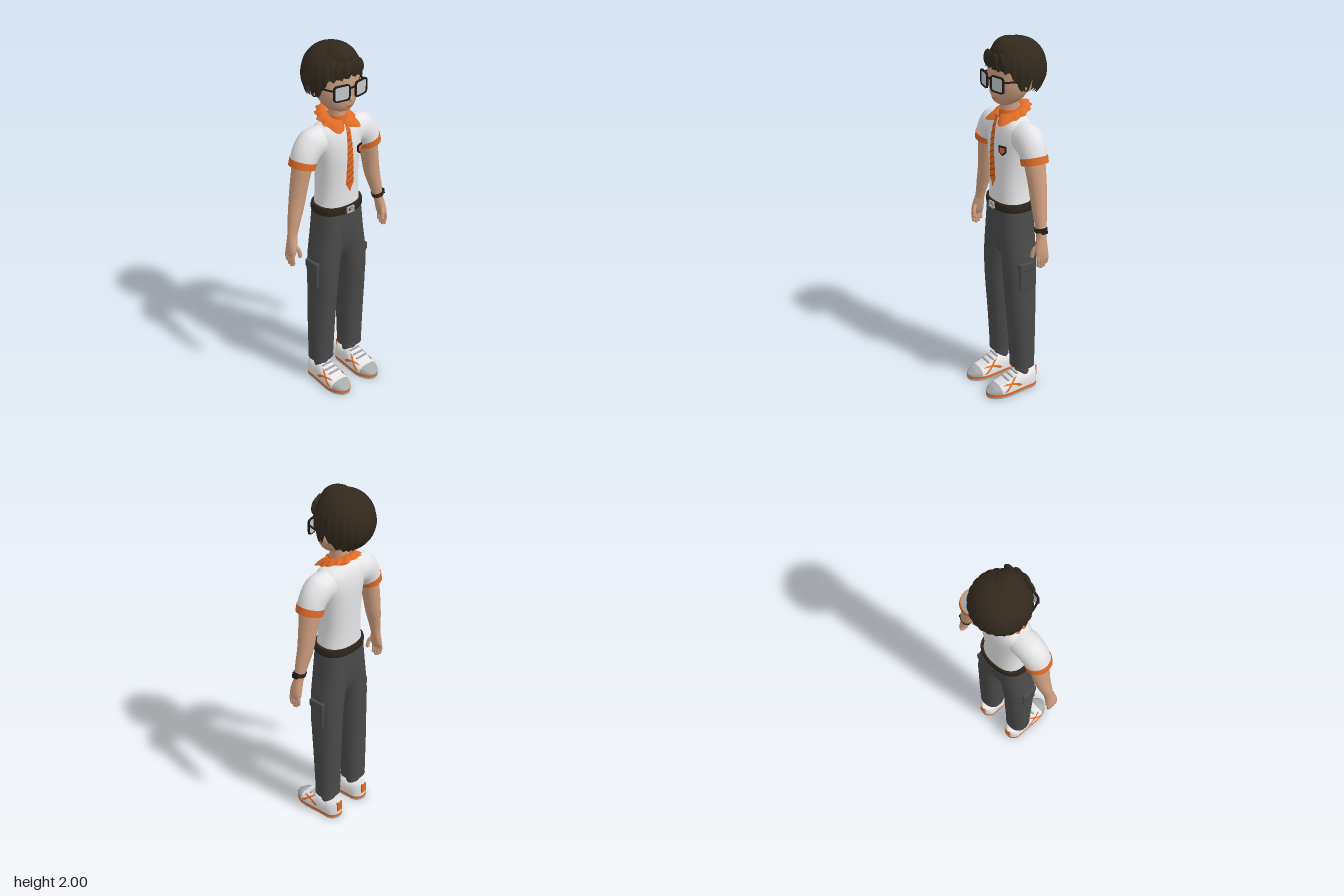
import * as THREE from 'three';
import { RoundedBoxGeometry } from 'three/addons/geometries/RoundedBoxGeometry.js';

const paint = (name, color, side = THREE.FrontSide) => {
  const m = new THREE.MeshStandardMaterial({ color, side });
  m.name = name;
  return m;
};

// Open or closed sheet of points; i runs around, j along
function grid(ni, nj, fn, closed = false, caps = false) {
  const pos = [], idx = [], cols = closed ? ni : ni + 1;
  for (let j = 0; j <= nj; j++) for (let i = 0; i < cols; i++) pos.push(...fn(i / ni, j / nj));
  const at = (i, j) => j * cols + (i % cols);
  for (let j = 0; j < nj; j++) for (let i = 0; i < ni; i++) {
    idx.push(at(i, j), at(i, j + 1), at(i + 1, j), at(i + 1, j), at(i, j + 1), at(i + 1, j + 1));
  }
  if (caps) for (const j of [0, nj]) {
    const base = pos.length / 3, c = [0, 0, 0];
    for (let i = 0; i < ni; i++) {
      const p = fn(i / ni, j / nj);
      pos.push(...p);
      p.forEach((v, k) => { c[k] += v / ni; });
    }
    pos.push(...c);
    for (let i = 0; i < ni; i++) {
      const a = base + i, b = base + (i + 1) % ni;
      idx.push(base + ni, ...(j ? [b, a] : [a, b]));
    }
  }
  const g = new THREE.BufferGeometry();
  g.setAttribute('position', new THREE.Float32BufferAttribute(pos, 3));
  g.setIndex(idx);
  g.computeVertexNormals();
  return g;
}

// Smooth interpolation through rows of numbers
function sample(rows, t) {
  const n = rows.length - 1, f = Math.min(Math.max(t, 0), 1) * n, i = Math.min(Math.floor(f), n - 1), k = f - i;
  const [a, b, c, d] = [rows[Math.max(i - 1, 0)], rows[i], rows[i + 1], rows[Math.min(i + 2, n)]];
  return b.map((v, q) => v + 0.5 * k * (c[q] - a[q] + k * (2 * a[q] - 5 * v + 4 * c[q] - d[q] + k * (3 * (v - c[q]) + d[q] - a[q]))));
}
// Piecewise linear lookup in [key, value] pairs
function lookup(table, x) {
  let i = 0;
  while (i < table.length - 2 && x > table[i + 1][0]) i++;
  const [a, b] = [table[i], table[i + 1]];
  return THREE.MathUtils.lerp(a[1], b[1], THREE.MathUtils.clamp((x - a[0]) / (b[0] - a[0]), 0, 1));
}
const pw = (v, e) => Math.sign(v) * Math.abs(v) ** e;

// Body loft, bottom to top; each ring is [x, y, z, radiusX, radiusZ, tilt]
const loft = (rings, e = 1, n = 28, sub = 4) => grid(n, (rings.length - 1) * sub, (u, v) => {
  const [x, y, z, rx, rz, t] = sample(rings, v), a = u * Math.PI * 2, r = rx * pw(Math.cos(a), e);
  return [x + r * Math.cos(t), y + r * Math.sin(t), z + rz * pw(Math.sin(a), e)];
}, true, true);
const upright = (rows, e, n) => loft(rows.map(([y, z, rx, rz]) => [0, y, z, rx, rz, 0]), e, n);
const box = (w, h, d, x, y, z, ry = 0, rz = 0) => new THREE.BoxGeometry(w, h, d).rotateZ(rz).rotateY(ry).translate(x, y, z);
const ball = (x, y, z, rx, ry, rz) => new THREE.SphereGeometry(1, 24, 16).scale(rx, ry, rz).translate(x, y, z);
const tube = (pts, r) => new THREE.TubeGeometry(new THREE.CatmullRomCurve3(pts.map(p => new THREE.Vector3(...p))), 12, r, 8);

function mirror(geo) {
  const g = (geo.index ? geo.toNonIndexed() : geo.clone()).scale(-1, 1, 1);
  for (const a of [g.attributes.position, g.attributes.normal]) for (let i = 0; i < a.count; i += 3) {
    const p = new THREE.Vector3().fromBufferAttribute(a, i), q = new THREE.Vector3().fromBufferAttribute(a, i + 2);
    a.setXYZ(i, q.x, q.y, q.z);
    a.setXYZ(i + 2, p.x, p.y, p.z);
  }
  return g;
}
function roundRect(path, w, h, r) {
  const x = w / 2, y = h / 2;
  path.moveTo(-x + r, -y).lineTo(x - r, -y).quadraticCurveTo(x, -y, x, -y + r).lineTo(x, y - r).quadraticCurveTo(x, y, x - r, y)
    .lineTo(-x + r, y).quadraticCurveTo(-x, y, -x, y - r).lineTo(-x, -y + r).quadraticCurveTo(-x, -y, -x + r, -y);
  return path;
}
const plate = (shape, depth) => new THREE.ExtrudeGeometry(shape, { depth, bevelEnabled: false, curveSegments: 6 });

export function createModel() {
  const D = THREE.DoubleSide;
  const skin = paint('skin', 0xcf9f80), hairMat = paint('hair', 0x32291d, D), white = paint('white', 0xe9e9eb, D);
  const orange = paint('orange', 0xe06c28, D), rust = paint('rust', 0x9c4518, D), slate = paint('slate', 0x4a4a4b);
  const brown = paint('belt brown', 0x2e261b), black = paint('black', 0x1c1b1a), glass = paint('lens', 0xc4c7c9), grey = paint('grey', 0xa9abad, D);

  const root = new THREE.Group();
  root.name = 'figure';
  const add = (name, geo, mat) => {
    const m = new THREE.Mesh(geo, mat);
    m.name = name;
    root.add(m);
  };
  const pair = (name, geo, mat) => {
    add('left ' + name, geo, mat);
    add('right ' + name, mirror(geo), mat);
  };

  // Head and neck
  add('head', upright([[1.655, 0.02, 0.03, 0.03], [1.67, 0.016, 0.062, 0.058], [1.7, 0.004, 0.092, 0.083], [1.75, -0.008, 0.117, 0.102],
    [1.8, -0.015, 0.125, 0.112], [1.87, -0.02, 0.128, 0.115], [1.93, -0.025, 0.105, 0.1], [1.97, -0.025, 0.05, 0.05]], 1, 32), skin);
  add('neck', upright([[1.56, -0.01, 0.052, 0.055], [1.62, -0.008, 0.045, 0.05], [1.7, -0.008, 0.046, 0.05]]), skin);
  add('nose', ball(0, 1.735, 0.095, 0.012, 0.014, 0.014), skin);
  add('mouth', box(0.03, 0.004, 0.008, 0, 1.692, 0.083), rust);
  pair('ear', ball(0.13, 1.775, -0.03, 0.014, 0.034, 0.024), skin);

  // Hair: a strand-ridged cap with an uneven lower edge
  const hairline = [[0, 1.857], [0.5, 1.847], [0.85, 1.835], [1.1, 1.765], [1.35, 1.738], [1.6, 1.8], [1.9, 1.74], [2.3, 1.715], [3.15, 1.705]];
  add('hair', grid(132, 18, (u, v) => {
    const a = u * Math.PI * 2, side = Math.min(a, Math.PI * 2 - a), back = Math.max(0, -Math.cos(a));
    const strand = Math.abs(((u * 24) % 1) - 0.5) * 2;
    const edge = lookup(hairline, side) + 0.018 * (strand - 0.5);
    const phi = v * Math.acos((edge - 1.83) / 0.16), s = Math.sin(phi);
    const r = pw(s, phi > Math.PI / 2 ? 0.5 + 0.8 * back : 0.85) * (1 - 0.045 * strand * v);
    return [0.154 * r * Math.sin(a), 1.83 + 0.16 * Math.cos(phi), -0.047 + 0.157 * r * Math.cos(a)];
  }, true), hairMat);
  add('crown hair', ball(0, 1.925, -0.005, 0.085, 0.075, 0.092), hairMat);
  for (const [x, tilt] of [[-0.06, 0.35], [-0.02, 0.2], [0.025, -0.15], [0.065, -0.4]]) {
    add('fringe lock', new THREE.SphereGeometry(1, 12, 10).scale(0.032, 0.045, 0.014).rotateZ(-tilt).translate(x, 1.89, 0.098 - x * x * 4), hairMat);
  }

  // Glasses
  const rim = roundRect(new THREE.Shape(), 0.094, 0.084, 0.02);
  rim.holes.push(roundRect(new THREE.Path(), 0.08, 0.07, 0.015));
  const seat = g => g.rotateY(0.2).translate(0.062, 1.782, 0.098);
  pair('glasses rim', seat(plate(rim, 0.01)), black);
  pair('lens', seat(plate(roundRect(new THREE.Shape(), 0.082, 0.072, 0.015), 0.005)), glass);
  pair('glasses temple', tube([[0.108, 1.8, 0.092], [0.122, 1.8, 0.05], [0.132, 1.795, -0.03]], 0.005), black);
  add('glasses bridge', box(0.034, 0.008, 0.008, 0, 1.8, 0.11), black);

  // Shirt, sleeves and cuffs
  add('shirt', upright([[1.1, -0.01, 0.13, 0.098], [1.2, -0.01, 0.117, 0.096], [1.3, -0.01, 0.117, 0.097], [1.4, -0.01, 0.127, 0.1],
    [1.48, -0.012, 0.143, 0.098], [1.54, -0.014, 0.15, 0.086], [1.575, -0.014, 0.12, 0.07], [1.597, -0.012, 0.065, 0.055]], 0.85, 36), white);
  pair('sleeve', loft([[0.225, 1.405, -0.015, 0.066, 0.068, 0.26], [0.2, 1.458, -0.016, 0.075, 0.071, 0.55], [0.165, 1.493, -0.017, 0.084, 0.074, 0.96],
    [0.135, 1.503, -0.017, 0.083, 0.075, 1.22], [0.08, 1.505, -0.017, 0.078, 0.07, 1.5]]), white);
  pair('sleeve cuff', loft([[0.227, 1.395, -0.015, 0.069, 0.072, 0.26], [0.217, 1.43, -0.015, 0.071, 0.072, 0.3]]), orange);

  // Collar: tilted ring, open at the front, with two pointed flaps and a ragged back
  add('collar', grid(48, 4, (u, v) => {
    const a = 0.2 + u * (Math.PI * 2 - 0.4), side = Math.min(a, Math.PI * 2 - a);
    const reach = lookup([[0.2, 0.085], [0.62, 0.13], [1.1, 0.1], [1.6, 0.106], [3.15, 0.11]], side) + (side > 1.2 ? 0.008 * Math.cos(a * 14) : 0);
    const r = THREE.MathUtils.lerp(0.05, reach, v), z = -0.01 + r * Math.cos(a);
    return [r * Math.sin(a), 1.623 - 0.38 * z + 0.012 * Math.sin(v * Math.PI) - 0.024 * v, z];
  }), orange);
  add('collar band', loft([[0, 1.585, -0.008, 0.056, 0.06, 0], [0, 1.628, -0.01, 0.05, 0.055, 0]]), orange);

  // Tie with slanted stripes
  const tieHalf = [[1.22, 0], [1.265, 0.027], [1.56, 0.013], [1.575, 0.011], [1.605, 0.018]];
  const tieZ = y => lookup([[1.2, 0.094], [1.4, 0.098], [1.48, 0.095], [1.55, 0.084], [1.61, 0.064]], y);
  add('tie', grid(2, 24, (u, v) => {
    const y = 1.605 - 0.385 * v, w = (u - 0.5) * 2;
    return [w * lookup(tieHalf, y), y, tieZ(y) + 0.004 * (1 - Math.abs(w))];
  }), orange);
  for (let k = 0; k < 9; k++) add('tie stripe', grid(2, 1, (u, v) => {
    const w = (u - 0.5) * 2, y = 1.28 + k * 0.034 + w * 0.012 - v * 0.006;
    return [w * lookup(tieHalf, y), y, tieZ(y) + 0.0015 + 0.004 * (1 - Math.abs(w))];
  }), rust);

  // Plain shield patch on the chest
  const shield = k => new THREE.Shape([[-0.022, 0.025], [0.022, 0.025], [0.022, -0.008], [0, -0.028], [-0.022, -0.008]].map(p => new THREE.Vector2(p[0] * k, p[1] * k)));
  add('chest patch', plate(shield(1), 0.006).rotateY(0.35).translate(0.076, 1.435, 0.08), black);
  add('chest patch inset', plate(shield(0.65), 0.008).rotateY(0.35).translate(0.076, 1.435, 0.08), orange);

  // Arms and hands
  pair('arm', loft([[0.314, 0.99, -0.004, 0.024, 0.027, 0.2], [0.301, 1.05, -0.008, 0.029, 0.026, 0.2], [0.284, 1.12, -0.013, 0.036, 0.034, 0.2],
    [0.263, 1.2, -0.018, 0.043, 0.042, 0.2], [0.245, 1.3, -0.018, 0.046, 0.049, 0.2], [0.225, 1.4, -0.015, 0.05, 0.056, 0.2], [0.21, 1.46, -0.015, 0.05, 0.056, 0.3]]), skin);
  pair('palm', loft([[0.329, 0.918, 0, 0.013, 0.03, 0.1], [0.324, 0.94, 0, 0.02, 0.037, 0.1], [0.318, 0.97, 0, 0.024, 0.035, 0.15], [0.308, 1.02, -0.005, 0.026, 0.027, 0.2]]), skin);
  [0.88, 0.865, 0.86, 0.87].forEach((tip, k) => {
    const z = -0.026 + k * 0.0175;
    pair('finger', tube([[0.323, 0.945, z], [0.331, 0.915, z], [0.327, tip + 0.008, z * 0.9]], 0.0095), skin);
    pair('fingertip', ball(0.327, tip + 0.006, z * 0.9, 0.0095, 0.01, 0.0095), skin);
  });
  pair('thumb', tube([[0.312, 0.985, 0.015], [0.3, 0.955, 0.035], [0.294, 0.922, 0.04]], 0.011), skin);
  pair('thumb tip', ball(0.294, 0.92, 0.04, 0.011, 0.011, 0.011), skin);
  add('watch strap', loft([[0.301, 1.048, -0.008, 0.034, 0.031, 0.2], [0.296, 1.07, -0.009, 0.036, 0.033, 0.2]]), brown);
  add('watch face', box(0.01, 0.03, 0.032, 0.333, 1.064, -0.008, 0, 0.2), black);

  // Belt
  add('belt', upright([[1.095, -0.009, 0.143, 0.107], [1.115, -0.009, 0.145, 0.109], [1.137, -0.009, 0.141, 0.107]], 0.85, 36), brown);
  const buckle = roundRect(new THREE.Shape(), 0.05, 0.036, 0.006);
  buckle.holes.push(roundRect(new THREE.Path(), 0.034, 0.02, 0.004));
  add('buckle', plate(buckle, 0.008).translate(0, 1.115, 0.099), grey);
  add('buckle prong', box(0.022, 0.005, 0.006, 0.008, 1.115, 0.103), grey);

  // Trousers with cargo pockets
  add('hips', upright([[0.8, -0.01, 0.04, 0.045], [0.84, -0.01, 0.085, 0.072], [0.9, -0.01, 0.135, 0.09], [1, -0.01, 0.141, 0.099], [1.12, -0.01, 0.134, 0.1]], 0.9, 36), slate);
  pair('trouser leg', loft([[0.108, 0.15, -0.022, 0.07, 0.067, 0], [0.108, 0.18, -0.022, 0.069, 0.066, 0], [0.105, 0.4, -0.018, 0.073, 0.075, 0], [0.101, 0.6, -0.012, 0.074, 0.086, 0],
    [0.095, 0.75, -0.01, 0.079, 0.092, 0], [0.085, 0.84, -0.01, 0.083, 0.094, 0], [0.07, 0.95, -0.01, 0.081, 0.096, 0], [0.06, 1.1, -0.01, 0.074, 0.092, 0]], 0.88), slate);
  pair('cargo pocket', new RoundedBoxGeometry(0.026, 0.15, 0.088, 2, 0.008).translate(0.168, 0.73, -0.008), slate);
  pair('pocket flap', new RoundedBoxGeometry(0.03, 0.048, 0.096, 2, 0.008).translate(0.17, 0.79, -0.008), slate);
  pair('slash pocket seam', tube([[0.088, 1.09, 0.071], [0.11, 1.04, 0.062], [0.128, 0.995, 0.042]], 0.003), black);
  pair('sock', loft([[0.107, 0.07, -0.022, 0.042, 0.045, 0], [0.107, 0.17, -0.02, 0.036, 0.036, 0]]), slate);

  // Shoes
  const cx = 0.106, heel = -0.11, toe = 0.205;
  const halfWidth = z => lookup([[heel, 0.053], [-0.03, 0.055], [0.09, 0.065], [toe, 0.065]], z)
    * Math.sqrt(Math.max(0, 1 - Math.max(0, (z - 0.1) / 0.105, (-0.06 - z) / 0.05) ** 2));
  const height = z => lookup([[heel, 0.116], [-0.06, 0.108], [-0.02, 0.108], [0.01, 0.12], [0.06, 0.096], [0.12, 0.07], [0.17, 0.058], [toe, 0.032]], z);
  const onShoe = (z, a, k = 1) => [cx - k * halfWidth(z) * pw(Math.cos(a), 0.7), 0.025 + k * (height(z) - 0.025) * pw(Math.sin(a), 0.7), z];
  const upper = (z0, z1) => grid(20, 20, (u, v) => onShoe(THREE.MathUtils.lerp(z0, z1, (1 - Math.cos(v * Math.PI)) / 2), u * Math.PI));
  pair('shoe upper', upper(heel, 0.14), white);
  pair('shoe toe cap', upper(0.14, toe), grey);
  const outline = k => {
    const pts = [];
    for (let i = 0; i < 48; i++) {
      const a = i / 48 * Math.PI * 2, z = 0.0475 + 0.1575 * Math.cos(a);
      pts.push(new THREE.Vector2(cx + Math.sign(Math.sin(a)) * halfWidth(z) * k, z));
    }
    return new THREE.Shape(pts);
  };
  pair('shoe sole', plate(outline(1), 0.012).rotateX(Math.PI / 2).translate(0, 0.012, 0), grey);
  pair('sole stripe', plate(outline(1.03), 0.014).rotateX(Math.PI / 2).translate(0, 0.026, 0), orange);
  // Crossed bands on both flanks
  for (const flip of [false, true]) for (const [z0, a0, z1, a1] of [[0.02, 0.12, 0.115, 1], [0.12, 0.12, 0.045, 1.05]]) {
    pair('shoe band', grid(1, 10, (u, v) => {
      const a = THREE.MathUtils.lerp(a0, a1, v), z = THREE.MathUtils.lerp(z0, z1, v) + (u - 0.5) * 0.022;
      return onShoe(z, flip ? Math.PI - a : a, 1.03);
    }), orange);
  }
  pair('heel tab', box(0.036, 0.06, 0.009, cx, 0.08, -0.108), orange);
  for (const z of [0.03, 0.058, 0.086]) pair('lace', box(0.07, 0.008, 0.01, cx, height(z) + 0.003, z), grey);

  return root;
}
